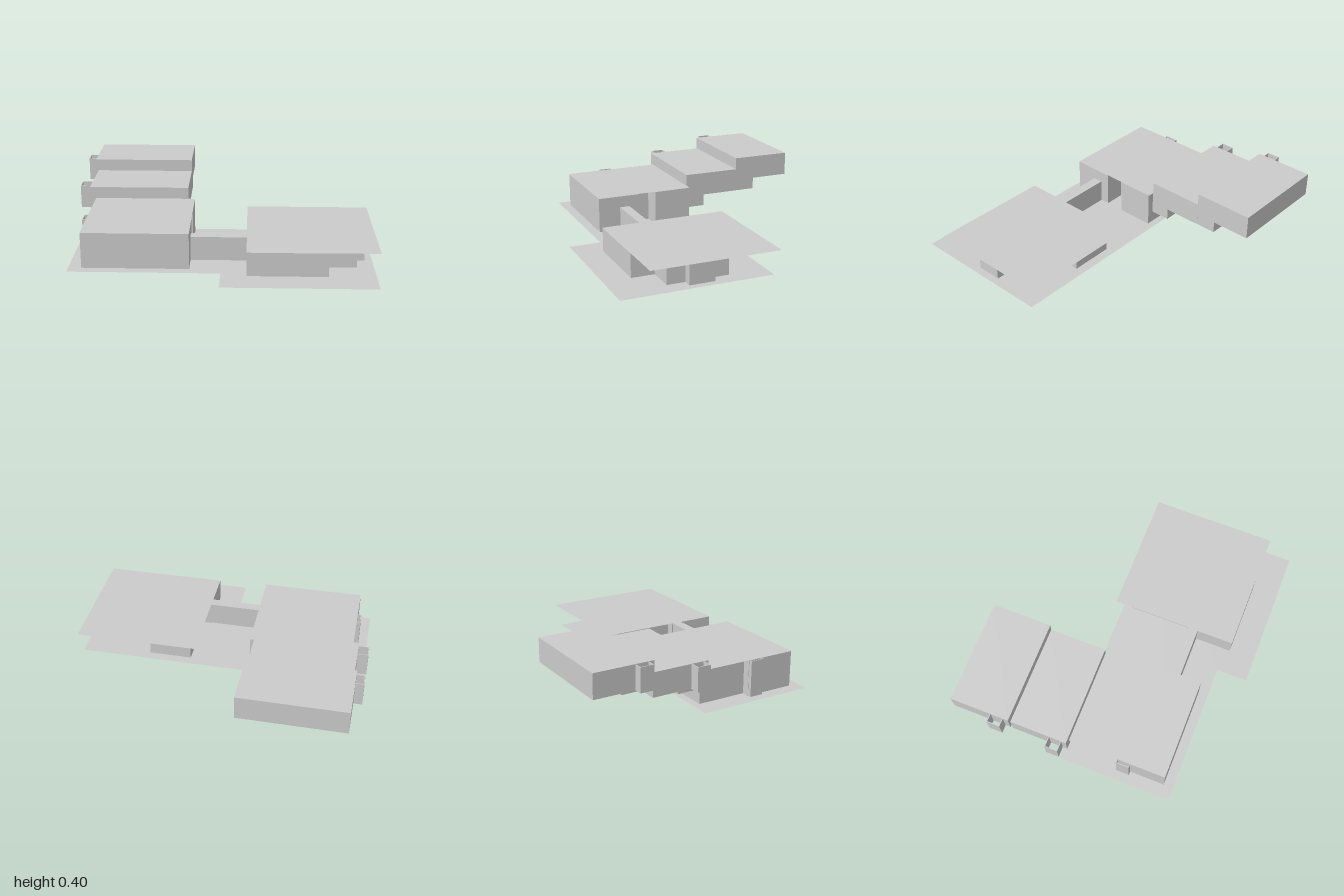
import * as THREE from 'three';

export function createModel() {
  const model = new THREE.Group();
  const mat = new THREE.MeshStandardMaterial({ color: 0xcccccc, flatShading: true, side: THREE.DoubleSide });

  const add = (name, geometry) => {
    const mesh = new THREE.Mesh(geometry, mat);
    mesh.name = name;
    model.add(mesh);
    return mesh;
  };
  // plan outline given as [x, z] pairs
  const plan = (points) => new THREE.Shape(points.map(([x, z]) => new THREE.Vector2(x, -z)));
  const prism = (name, points, y0, y1) => {
    const g = new THREE.ExtrudeGeometry(plan(points), { depth: y1 - y0, bevelEnabled: false });
    return add(name, g.rotateX(-Math.PI / 2).translate(0, y0, 0));
  };
  const sheet = (name, points, y) =>
    add(name, new THREE.ShapeGeometry(plan(points)).rotateX(-Math.PI / 2).translate(0, y, 0));
  const rect = (x0, x1, z0, z1) => [[x0, z0], [x1, z0], [x1, z1], [x0, z1]];
  const block = (name, x0, x1, y0, y1, z0, z1) => prism(name, rect(x0, x1, z0, z1), y0, y1);

  // L-shaped ground sheet
  sheet('ground', [[-0.975, -0.123], [0.98, -0.123], [0.98, 0.873], [0, 0.873], [0, 0.66], [-0.975, 0.66]], 0);

  // Low wing: stepped walls under a thin overhanging roof
  prism('lowWingWalls', [
    [0.165, 0.695], [0.68, 0.695], [0.68, 0.54], [0.87, 0.54], [0.87, 0.42], [0.93, 0.42],
    [0.93, 0.25], [0.87, 0.25], [0.87, 0.13], [0.51, 0.13], [0.51, -0.06], [0.22, -0.06],
    [0.22, 0.37], [0.165, 0.37],
  ], 0, 0.158);
  sheet('lowWingRoof', rect(0.165, 1, -0.16, 0.695), 0.16);

  // Corridor joining the two wings
  block('corridor', -0.2, 0.165, 0, 0.16, 0.375, 0.443);

  // Tall front house with a recessed opening on its inner side
  prism('frontHouseWalls', [
    [-0.89, 0.595], [-0.2, 0.595], [-0.2, 0.31], [-0.34, 0.31], [-0.34, 0.18], [-0.2, 0.18],
    [-0.2, -0.075], [-0.84, -0.075], [-0.84, 0.26], [-0.89, 0.26],
  ], 0, 0.238);
  sheet('frontHouseRoof', rect(-0.89, -0.2, -0.08, 0.595), 0.24);

  // Stepped terraces behind, each half a storey higher
  block('middleTerrace', -0.93, -0.245, 0.16, 0.32, -0.47, -0.078);
  block('backTerrace', -0.945, -0.245, 0.24, 0.402, -0.875, -0.47);

  // Lower rooms reaching back underneath each terrace
  for (const [y, z0, z1] of [[0.08, -0.21, -0.07], [0.16, -0.61, -0.465]]) {
    for (const [x0, x1] of [[-0.41, -0.246], [-0.8, -0.58]]) {
      block('underRoom', x0, x1, y, y + 0.08, z0, z1);
    }
  }

  // Open-ended square shafts on the outer side walls
  const shaft = (x0, x1, y0, y1, z0, z1) => {
    const t = 0.005;
    block('shaftOuterWall', x0, x0 + t, y0, y1, z0, z1);
    for (const z of [z0, z1 - t]) block('shaftSideWall', x0 + t, x1, y0, y1, z, z + t);
  };
  shaft(-0.915, -0.89, 0, 0.24, 0.262, 0.353);
  shaft(-1, -0.93, 0.16, 0.32, -0.2, -0.11);
  shaft(-1, -0.945, 0.24, 0.4, -0.597, -0.506);

  return model;
}
